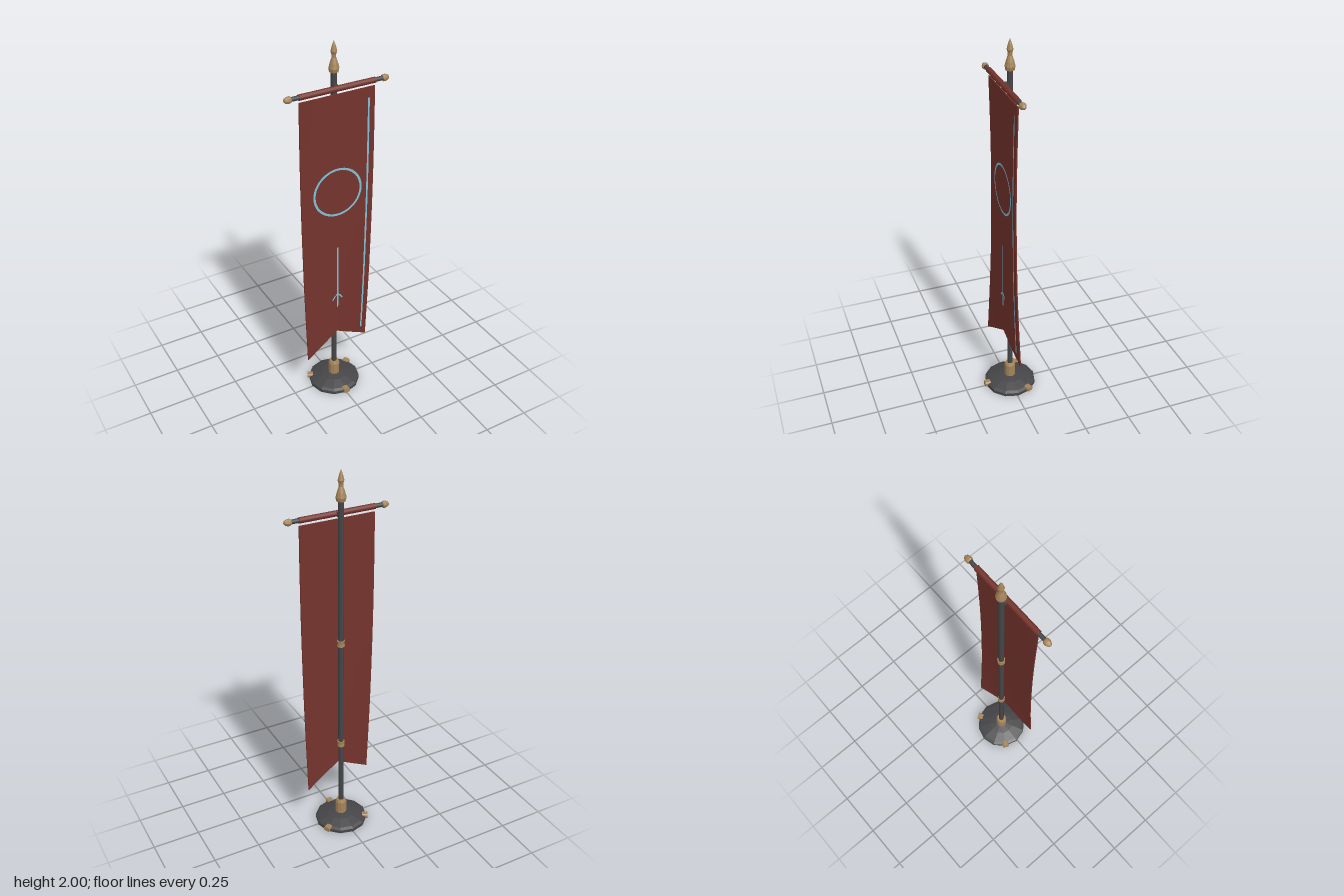
import * as THREE from 'three';

const POLE_Z = -0.006, BAR_Z = 0.028, BAR_Y = 1.78;
const TOP = 1.753, THICK = 0.006;

const material = (name, color) => {
  const m = new THREE.MeshStandardMaterial({ color });
  m.name = name;
  return m;
};

// Cloth depth: a gentle twist that reverses towards the tails
function clothZ(x, y) {
  const t = (TOP - y) / (TOP - 0.255);
  const twist = t < 0.65 ? -0.007 * Math.sin((Math.PI * t) / 0.65) : 0.024 * Math.pow((t - 0.65) / 0.35, 1.2);
  return BAR_Z - (x / 0.19) * twist;
}

// Moves each vertex onto the cloth surface, keeping its own z as an offset
function drape(geo) {
  const p = geo.attributes.position;
  for (let i = 0; i < p.count; i++) p.setZ(i, p.getZ(i) + clothZ(p.getX(i), p.getY(i)));
  geo.computeVertexNormals();
  return geo;
}

// Faceted turned part from [radius, height] pairs
function turned(points, sides) {
  const geo = new THREE.LatheGeometry(points.map(([r, y]) => new THREE.Vector2(r, y)), sides).toNonIndexed();
  geo.computeVertexNormals();
  return geo;
}

export function createModel() {
  const group = new THREE.Group();
  const red = material('red cloth', 0x74332c);
  const iron = material('dark iron', 0x464648);
  const brass = material('brass', 0xa5855a);
  const blue = material('pale blue', 0x7ec0d8);

  const add = (name, geo, mat, x = 0, y = 0, z = 0) => {
    const mesh = new THREE.Mesh(geo, mat);
    mesh.name = name;
    mesh.position.set(x, y, z);
    group.add(mesh);
    return mesh;
  };

  // Base, hub and three feet clips
  add('base', turned([[0, 0], [0.14, 0], [0.14, 0.018], [0.125, 0.026], [0.07, 0.043], [0.03, 0.05], [0, 0.05]], 12),
    iron, 0, 0, POLE_Z);
  add('hub', turned([[0, 0.045], [0.03, 0.045], [0.03, 0.118], [0.024, 0.132], [0, 0.132]], 12), brass, 0, 0, POLE_Z);
  const clipShape = new THREE.Shape([[-0.012, 0.004], [0.012, 0.004], [0.017, 0.01], [0.017, 0.025],
    [0.012, 0.031], [-0.012, 0.031], [-0.017, 0.025], [-0.017, 0.01]].map(([x, y]) => new THREE.Vector2(x, y)));
  for (let i = 0; i < 3; i++) {
    const a = (i * Math.PI * 2) / 3;
    const clip = add('baseClip', new THREE.ExtrudeGeometry(clipShape, { depth: 0.031, bevelEnabled: false }),
      brass, Math.sin(a) * 0.118, 0, POLE_Z + Math.cos(a) * 0.118);
    clip.rotation.y = a;
  }

  // Pole, collars and finial
  add('pole', new THREE.CylinderGeometry(0.0145, 0.0145, 1.81, 10), iron, 0, 0.955, POLE_Z);
  for (const y of [0.505, 1.11]) {
    add('poleCollar', turned([[0.014, -0.016], [0.02, -0.016], [0.018, 0], [0.02, 0.016], [0.014, 0.016]], 10),
      brass, 0, y, POLE_Z);
  }
  add('finial', turned([[0, 1.85], [0.022, 1.85], [0.026, 1.868], [0.02, 1.892], [0.011, 1.918],
    [0.011, 1.932], [0.016, 1.948], [0.009, 1.975], [0, 2]], 10), brass, 0, 0, POLE_Z);

  // Crossbar with its sleeve, bracket and end caps
  add('crossbar', new THREE.CylinderGeometry(0.011, 0.011, 0.5, 10), iron, 0, BAR_Y, BAR_Z).rotation.z = Math.PI / 2;
  add('clothSleeve', new THREE.CylinderGeometry(0.0145, 0.0145, 0.402, 14), red, 0, BAR_Y, BAR_Z).rotation.z = Math.PI / 2;
  add('barBracket', new THREE.BoxGeometry(0.022, 0.022, 0.034), iron, 0, BAR_Y, 0.011);
  for (const side of [-1, 1]) {
    const cap = add('barEndCap', turned([[0, 0], [0.014, 0], [0.017, 0.006], [0.017, 0.017], [0.011, 0.031], [0, 0.038]], 10),
      brass, side * 0.24, BAR_Y, BAR_Z);
    cap.rotation.z = -side * Math.PI / 2;
  }

  // Swallow-tailed banner cloth
  const cloth = new THREE.BoxGeometry(2, 1, THICK, 8, 24, 1);
  const p = cloth.attributes.position;
  for (let i = 0; i < p.count; i++) {
    const u = p.getX(i), t = 0.5 - p.getY(i);
    const bottom = 0.365 - 0.11 * Math.abs(u);
    p.setXY(i, u * (0.2 - 0.008 * t), TOP + (bottom - TOP) * t);
  }
  add('bannerCloth', drape(cloth), red);

  // Painted emblem strips, laid just proud of the cloth
  const lift = THICK / 2 + 0.002;
  const strip = (name, x0, y0, x1, y1, width) => {
    const length = Math.hypot(x1 - x0, y1 - y0);
    const geo = new THREE.PlaneGeometry(width, length, 1, Math.max(2, Math.round(length / 0.04)));
    geo.rotateZ(Math.atan2(y1 - y0, x1 - x0) - Math.PI / 2);
    geo.translate((x0 + x1) / 2, (y0 + y1) / 2, lift);
    add(name, drape(geo), blue);
  };
  add('emblemRing', drape(new THREE.RingGeometry(0.121, 0.133, 48).translate(0, 1.235, lift)), blue);
  strip('emblemStem', 0, 0.53, 0, 0.91, 0.009);
  strip('borderStripe', 0.158, 0.32, 0.166, 1.7, 0.01);
  for (const side of [-1, 1]) {
    strip('emblemBarb', side * 0.03, 0.582, side * 0.015, 0.604, 0.008);
    strip('emblemBarb', side * 0.017, 0.602, 0, 0.614, 0.008);
  }
  return group;
}
